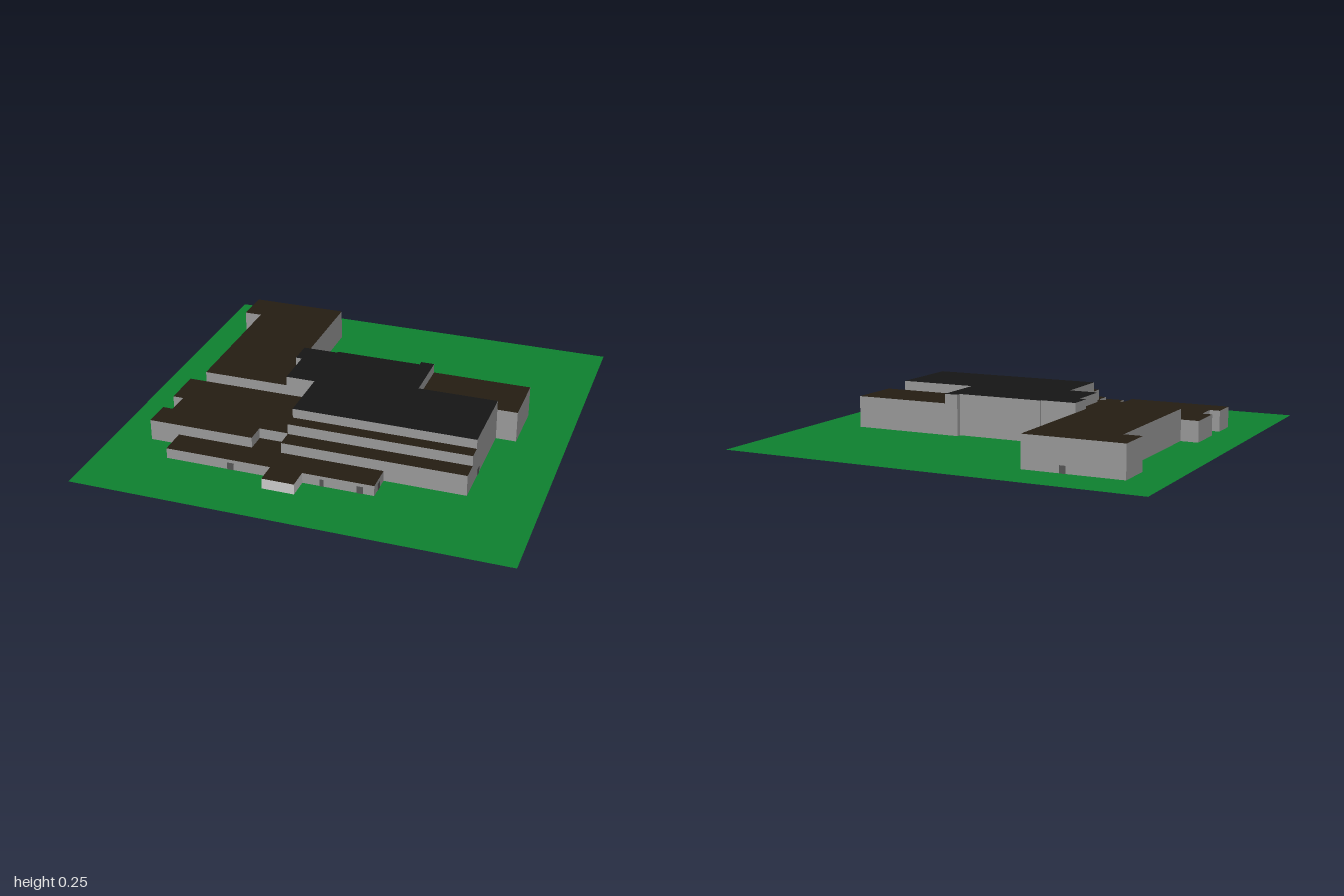
import * as THREE from 'three';

const mat = (color) => new THREE.MeshStandardMaterial({ color });
const wall = mat(0x999999), pale = mat(0xcccccc), brown = mat(0x251d12);
const black = mat(0x161616), dark = mat(0x555555);
const lawn = new THREE.MeshStandardMaterial({ color: 0x0e8230, side: THREE.DoubleSide });

// Plan outlines are [x, z] pairs; the shape is drawn with y = -z and laid flat.
const points = (plan) => plan.map(([x, z]) => new THREE.Vector2(x, -z));

function storey(name, plan, y, height, roof, side = wall) {
  const geo = new THREE.ExtrudeGeometry(new THREE.Shape(points(plan)), { depth: height, bevelEnabled: false });
  geo.rotateX(-Math.PI / 2);
  const mesh = new THREE.Mesh(geo, [roof, side]);
  mesh.position.y = y;
  mesh.name = name;
  return mesh;
}

export function createModel() {
  const group = new THREE.Group();

  // Stretches of outline shared by several storeys
  const back = [[-0.82, -0.76], [-0.35, -0.76], [-0.35, -0.215], [-0.18, -0.215], [-0.18, -0.225],
    [0.235, -0.225], [0.235, -0.25], [0.77, -0.25], [0.77, 0.01], [0.675, 0.01]];
  const wingSide = [[-0.735, 0.1], [-0.735, -0.585], [-0.82, -0.585]];
  const sideBlock = [[-0.82, 0.53], [-0.82, 0.4], [-0.77, 0.4], [-0.77, 0.29], [-0.82, 0.29], [-0.82, 0.1]];
  const porch = [[-0.03, 0.66], [-0.03, 0.76], [-0.18, 0.76], [-0.18, 0.66]];
  const frontRow = (middle) => [...back, [0.675, 0.53], [0.3, 0.53], [0.3, 0.66], ...middle,
    [-0.68, 0.66], [-0.68, 0.53], ...sideBlock, ...wingSide];

  const footprint = frontRow(porch);
  const first = frontRow([]);
  const second = [...back, [0.675, 0.53], [-0.18, 0.53], [-0.18, 0.44], [-0.32, 0.44], [-0.32, 0.53],
    ...sideBlock, ...wingSide];
  const third = [...back, [0.675, 0.445], [-0.18, 0.445], [-0.18, 0.1], ...wingSide];
  const top = [[-0.35, -0.215], [-0.18, -0.215], [-0.18, -0.225], [0.235, -0.225], [0.235, -0.25],
    [0.3, -0.25], [0.3, 0.01], [0.675, 0.01], [0.675, 0.38], [-0.18, 0.38], [-0.18, 0.1],
    [-0.32, 0.1], [-0.32, -0.1], [-0.35, -0.1]];

  // Stepped storeys
  group.add(
    storey('basement', footprint, 0, 0.05, brown),
    storey('firstStorey', first, 0.05, 0.05, brown),
    storey('entrancePorch', porch, 0.05, 0.05, brown, pale),
    storey('secondStorey', second, 0.1, 0.05, brown),
    storey('thirdStorey', third, 0.15, 0.05, brown),
    storey('topStorey', top, 0.2, 0.045, black),
  );

  // Lawn, cut out around the building
  const plot = new THREE.Shape(points([[-1, 0.98], [1, 0.98], [1, -0.98], [-1, -0.98]]));
  plot.holes.push(new THREE.Path(points(footprint)));
  const ground = new THREE.Mesh(new THREE.ShapeGeometry(plot).rotateX(-Math.PI / 2), lawn);
  ground.position.y = 0.05;
  ground.name = 'lawn';
  group.add(ground);

  // Doors: x, z, width, and whether they sit on a side wall
  const doors = [[-0.37, 0.66, 0.03, false], [0.06, 0.66, 0.018, false], [0.235, 0.66, 0.03, false],
    [-0.54, -0.76, 0.03, false], [0.3, 0.6, 0.03, true], [0.675, 0.34, 0.03, true], [-0.77, 0.345, 0.03, true]];
  for (const [x, z, width, onSide] of doors) {
    const door = new THREE.Mesh(new THREE.BoxGeometry(onSide ? 0.004 : width, 0.034, onSide ? width : 0.004), dark);
    door.position.set(x, 0.067, z);
    door.name = 'door';
    group.add(door);
  }
  return group;
}
